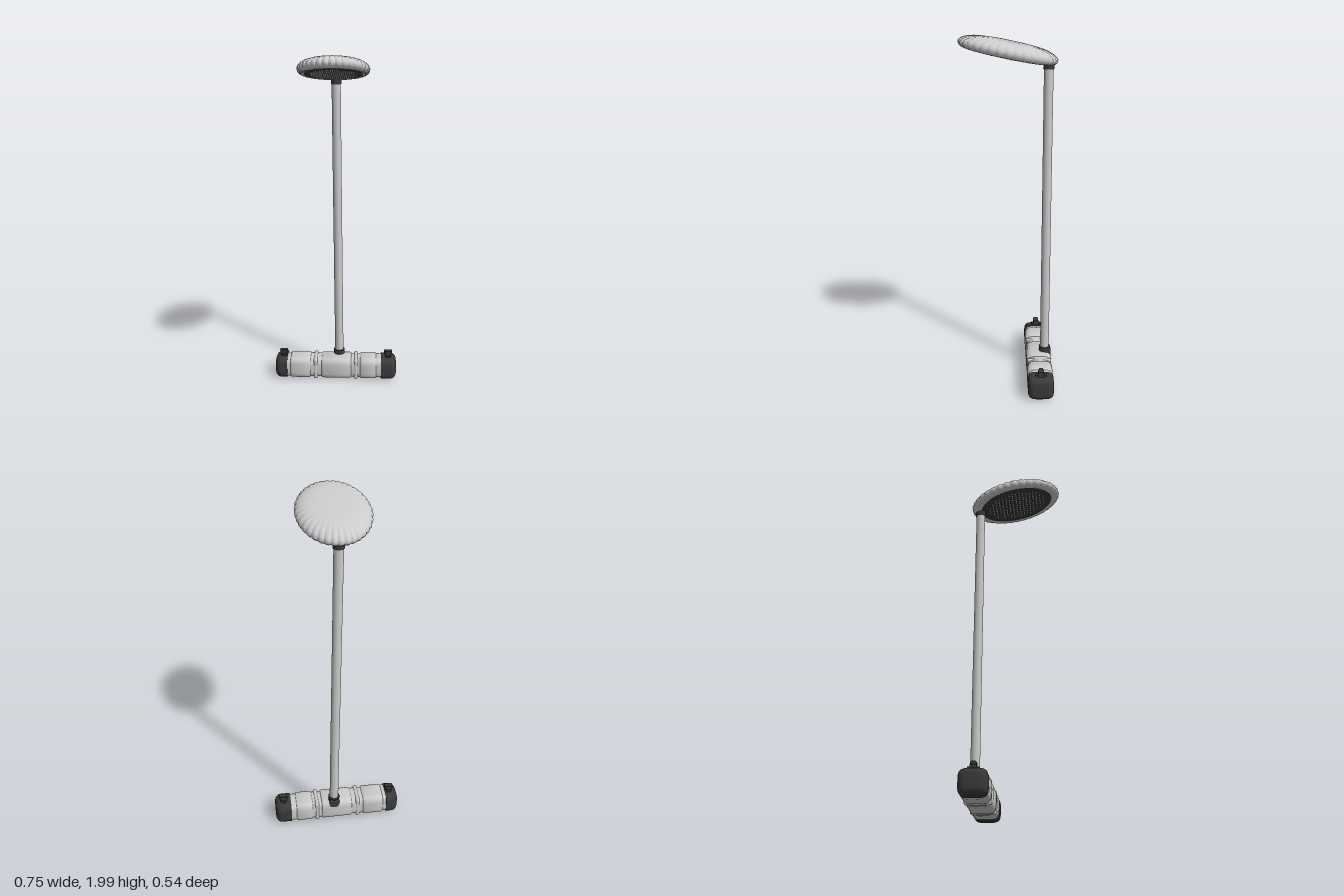
import * as THREE from 'three';
import { toCreasedNormals, mergeGeometries } from 'three/addons/utils/BufferGeometryUtils.js';
import { RoundedBoxGeometry } from 'three/addons/geometries/RoundedBoxGeometry.js';

const grey = new THREE.MeshStandardMaterial({ color: 0xcccccc });
const dark = new THREE.MeshStandardMaterial({ color: 0x3a3a3a });

function add(parent, name, geometry, material, x = 0, y = 0, z = 0) {
  const mesh = new THREE.Mesh(geometry, material);
  mesh.name = name;
  mesh.position.set(x, y, z);
  parent.add(mesh);
  return mesh;
}

// Skin closed cross-sections; point(ring, angle) returns [x, y, z]
function loft(rings, segments, point) {
  const pos = [], index = [];
  rings.forEach((ring, i) => {
    for (let j = 0; j < segments; j++) {
      pos.push(...point(ring, (j / segments) * Math.PI * 2));
      if (i === rings.length - 1) continue;
      const a = i * segments + j, b = i * segments + (j + 1) % segments;
      index.push(a, b, a + segments, b, b + segments, a + segments);
    }
  });
  const g = new THREE.BufferGeometry();
  g.setAttribute('position', new THREE.Float32BufferAttribute(pos, 3));
  g.setIndex(index);
  g.computeVertexNormals();
  return g;
}

// Rounded-square bar along x, from [x, scale] pairs in descending x
function bar(profile) {
  const sq = (v) => Math.sign(v) * Math.abs(v) ** 0.48;
  return toCreasedNormals(loft(profile, 48, ([x, s], a) =>
    [x, sq(Math.sin(a)) * 0.068 * s, sq(Math.cos(a)) * 0.074 * s]), 0.6);
}

// Round rod between two points
function rod(parent, name, from, to, radius, material) {
  const a = new THREE.Vector3(...from), b = new THREE.Vector3(...to), dir = b.clone().sub(a);
  const mesh = add(parent, name, new THREE.CylinderGeometry(radius, radius, dir.length(), 32), material);
  mesh.position.copy(a).add(b).multiplyScalar(0.5);
  mesh.quaternion.setFromUnitVectors(new THREE.Vector3(0, 1, 0), dir.normalize());
}

function buildBase() {
  const base = new THREE.Group();
  base.name = 'base';
  const y = 0.073, z = -0.183;

  // Body blocks with softened edges, separated by recessed bands
  const blocks = [[-0.285, -0.16], [-0.09, 0.095], [0.15, 0.25]];
  for (const [x0, x1] of blocks) {
    const e = 0.008;
    add(base, 'bodyBlock', bar([[x1, 0], [x1, 0.9], [x1 - e * 0.3, 0.96], [x1 - e, 1],
      [x0 + e, 1], [x0 + e * 0.3, 0.96], [x0, 0.9], [x0, 0]]), grey, 0, y, z);
  }
  add(base, 'bodyCore', bar([[0.3, 0], [0.3, 0.92], [-0.32, 0.92], [-0.32, 0]]), grey, 0, y, z);
  for (const x of [-0.127, 0.124]) {
    add(base, 'recessRib', new RoundedBoxGeometry(0.026, 0.132, 0.142, 3, 0.025), grey, x, y, z);
  }

  // Rounded end caps with a small clip on top of each
  const ends = [[1, 0.375, 0.281, 0.325], [-1, -0.379, -0.305, -0.329]];
  for (const [side, outer, inner, clipX] of ends) {
    const profile = [[outer, 0], [outer, 0.5]];
    for (let i = 1; i <= 6; i++) {
      const t = (i / 6) * Math.PI / 2;
      profile.push([outer - side * 0.036 * (1 - Math.cos(t)), 0.5 + 0.5 * Math.sin(t)]);
    }
    profile.push([inner, 1], [inner, 0]);
    if (side < 0) profile.reverse();
    add(base, side > 0 ? 'leftEndCap' : 'rightEndCap', bar(profile), dark, 0, y, z);
    add(base, 'clipPost', new THREE.BoxGeometry(0.036, 0.045, 0.032), dark, clipX, 0.15, -0.183);
    add(base, 'clipHead', new THREE.BoxGeometry(0.048, 0.018, 0.024), dark, clipX, 0.167, -0.183);
    add(base, 'clipFoot', new THREE.BoxGeometry(0.024, 0.012, 0.06), dark, clipX, 0.143, -0.183);
  }

  // Bracket on the back that carries the pole
  add(base, 'poleBracket', new RoundedBoxGeometry(0.06, 0.085, 0.04, 3, 0.01), dark, 0.018, 0.115, -0.236);
  return base;
}

function buildHead() {
  const head = new THREE.Group();
  head.name = 'head';
  head.position.set(-0.01, 1.913, -0.001);
  head.rotation.x = -0.2;
  const rx = 0.197, rz = 0.274;

  // Fluted oval shell: [fraction of radius, height, flute depth]
  const profile = [[0, 0.05, 0], [0.25, 0.05, 0], [0.45, 0.0485, 0], [0.6, 0.0455, 0.002], [0.72, 0.041, 0.004],
    [0.82, 0.034, 0.007], [0.9, 0.025, 0.01], [0.96, 0.013, 0.012], [0.99, 0.001, 0.013], [0.985, -0.011, 0.012],
    [0.955, -0.021, 0.009], [0.91, -0.028, 0.006], [0.86, -0.031, 0.002], [0.81, -0.028, 0], [0.8, -0.022, 0]];
  add(head, 'flutedShell', loft(profile, 360, ([r, y, flute], a) => {
    const wave = 2 * Math.abs(Math.cos(a * 18)) - 1;
    const k = r + flute * wave;
    return [Math.cos(a) * rx * k, y + Math.sign(y) * flute * 0.1 * wave, Math.sin(a) * rz * k];
  }), grey);

  // Dark spray plate underneath
  const plate = new THREE.CylinderGeometry(1, 1, 0.012, 64);
  plate.scale(rx * 0.83, 1, rz * 0.83);
  add(head, 'sprayPlate', plate, dark, 0, -0.021, 0);

  // Staggered nozzles
  const nozzles = [];
  for (let row = -8; row <= 8; row++) {
    for (let col = -6; col <= 6; col++) {
      const x = (col + (row & 1 ? 0.5 : 0)) * 0.022, z = row * 0.021;
      if ((x / 0.125) ** 2 + (z / 0.178) ** 2 > 1) continue;
      nozzles.push(new THREE.CylinderGeometry(0.0045, 0.003, 0.012, 8).translate(x, -0.031, z));
    }
  }
  add(head, 'nozzles', mergeGeometries(nozzles), grey);
  return head;
}

export function createModel() {
  const model = new THREE.Group();
  model.name = 'showerStand';
  model.add(buildBase(), buildHead());

  // Slightly leaning pole with a collar at each end
  const z = -0.219;
  rod(model, 'pole', [0.018, 0.13, z], [-0.004, 1.85, z], 0.026, grey);
  rod(model, 'lowerCollar', [0.018, 0.125, z], [0.0175, 0.168, z], 0.033, dark);
  rod(model, 'upperCollar', [-0.0036, 1.815, z], [-0.004, 1.85, z], 0.03, dark);
  return model;
}
